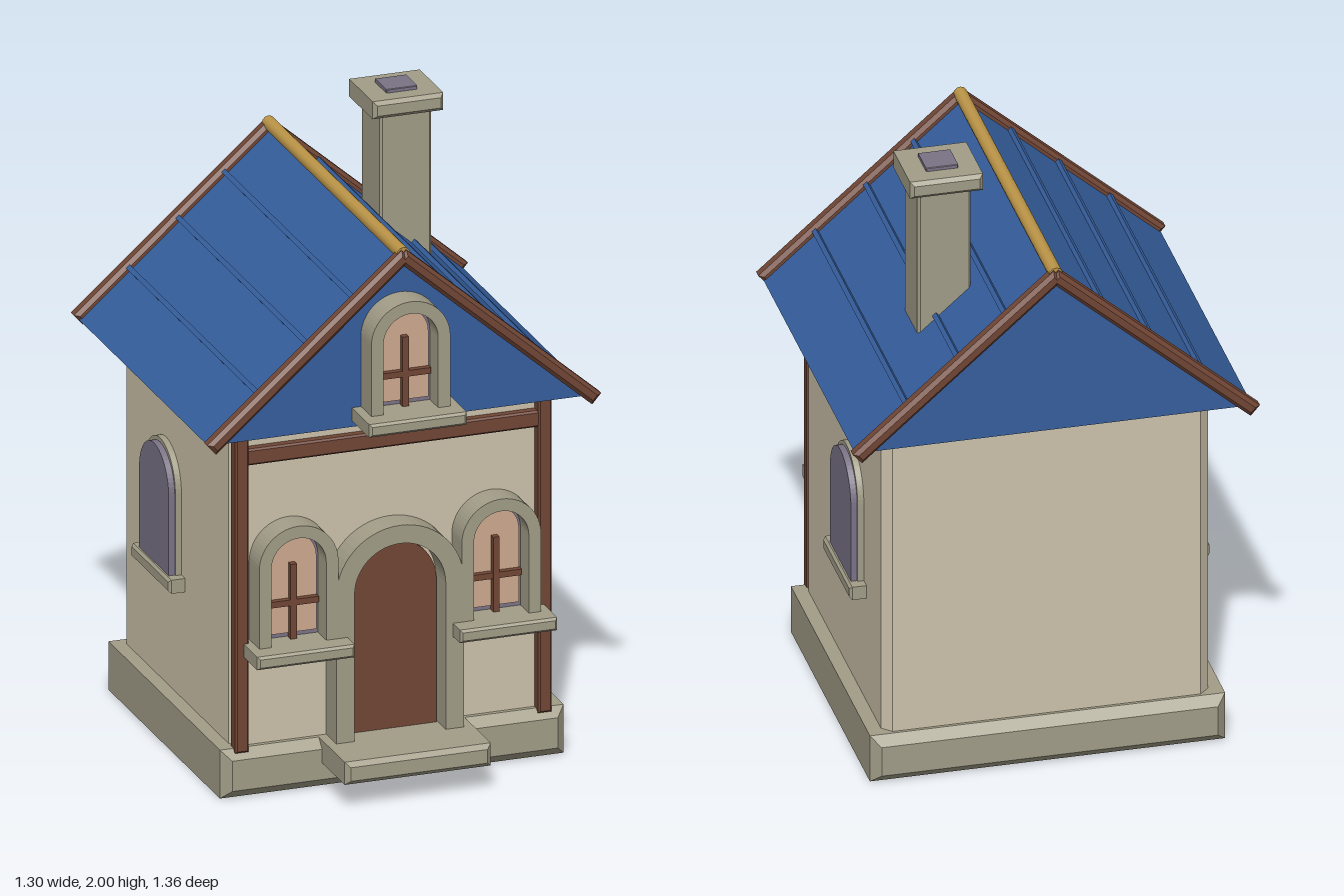
import * as THREE from 'three';

const mat = (name, color) => {
  const m = new THREE.MeshStandardMaterial({ color });
  m.name = name;
  return m;
};

export function createModel() {
  const wall = mat('plaster', 0xcdc3ab);
  const stone = mat('stone', 0xa29d88);
  const wood = mat('wood', 0x714635);
  const blue = mat('roofBlue', 0x365f9e);
  const gold = mat('gold', 0xbd9648);
  const peach = mat('litGlass', 0xcfab90);
  const purple = mat('darkGlass', 0x7b7386);

  const house = new THREE.Group();
  house.name = 'house';

  const add = (parent, name, geo, material, x = 0, y = 0, z = 0) => {
    const m = new THREE.Mesh(geo, material);
    m.name = name;
    m.position.set(x, y, z);
    parent.add(m);
    return m;
  };

  // Centred box with chamfered edges
  const chamferBox = (w, h, d, b) => {
    const x = w / 2 - b, y = h / 2 - b;
    const s = new THREE.Shape([[-x, -y], [x, -y], [x, y], [-x, y]].map(p => new THREE.Vector2(...p)));
    const g = new THREE.ExtrudeGeometry(s, { depth: d - 2 * b, bevelEnabled: true, bevelThickness: b, bevelSize: b, bevelSegments: 1 });
    return g.translate(0, 0, b - d / 2);
  };
  // Chamfered box given by its minimum and maximum corners
  const block = (parent, name, material, [x0, y0, z0], [x1, y1, z1], b) =>
    add(parent, name, chamferBox(x1 - x0, y1 - y0, z1 - z0, b), material, (x0 + x1) / 2, (y0 + y1) / 2, (z0 + z1) / 2);

  const extrude = (shape, depth) => new THREE.ExtrudeGeometry(shape, { depth, bevelEnabled: false, curveSegments: 14 });

  // Round-topped panel
  const panel = (r, bottom, spring, depth) => {
    const s = new THREE.Shape();
    s.moveTo(-r, bottom);
    s.lineTo(r, bottom);
    s.lineTo(r, spring);
    s.absarc(0, spring, r, 0, Math.PI, false);
    s.closePath();
    return extrude(s, depth);
  };
  // Round-topped surround, open at the foot
  const surround = (ro, ri, bottom, spring, depth) => {
    const s = new THREE.Shape();
    s.moveTo(ri, bottom);
    s.lineTo(ro, bottom);
    s.lineTo(ro, spring);
    s.absarc(0, spring, ro, 0, Math.PI, false);
    s.lineTo(-ro, bottom);
    s.lineTo(-ri, bottom);
    s.lineTo(-ri, spring);
    s.absarc(0, spring, ri, Math.PI, 0, true);
    s.closePath();
    return extrude(s, depth);
  };

  // Base, walls and step
  block(house, 'base', stone, [-0.565, 0, -0.585], [0.565, 0.16, 0.465], 0.03);
  block(house, 'walls', wall, [-0.52, 0.1, -0.545], [0.52, 1.205, 0.42], 0.03);
  block(house, 'step', stone, [-0.24, 0.085, 0.4], [0.24, 0.16, 0.68], 0.015);

  // Front timber frame
  for (const s of [-1, 1])
    add(house, 'cornerPost', chamferBox(0.045, 1.055, 0.045, 0.006), wood, s * 0.498, 0.675, 0.432);
  block(house, 'crossBeam', wood, [-0.5, 1.093, 0.4], [0.5, 1.147, 0.45], 0.006);

  // Door
  add(house, 'door', panel(0.145, 0.155, 0.635, 0.03), wood, 0, 0, 0.41);
  add(house, 'doorSurround', surround(0.21, 0.15, 0.155, 0.645, 0.1), stone, 0, 0, 0.41);

  // Front windows: z = 0 is the wall plane, y = 0 the top of the sill
  const frontWindow = (x, y, z, spring, barTop, barY) => {
    const w = new THREE.Group();
    w.name = 'frontWindow';
    w.position.set(x, y, z);
    add(w, 'windowSurround', surround(0.13, 0.09, -0.01, spring, 0.1), stone, 0, 0, -0.01);
    add(w, 'darkPane', panel(0.091, -0.01, spring, 0.015), purple);
    add(w, 'litPane', panel(0.082, 0.015, spring, 0.008), peach, 0, 0, 0.015);
    add(w, 'uprightBar', new THREE.BoxGeometry(0.02, barTop, 0.025), wood, 0, barTop / 2, 0.032);
    add(w, 'crossBar', new THREE.BoxGeometry(0.168, 0.02, 0.025), wood, 0, barY, 0.03);
    add(w, 'sill', chamferBox(0.32, 0.043, 0.17, 0.008), stone, 0, -0.021, 0.075);
    house.add(w);
  };
  for (const s of [-1, 1]) frontWindow(s * 0.333, 0.507, 0.42, 0.26, 0.248, 0.12);
  frontWindow(0, 1.266, 0.515, 0.233, 0.23, 0.107);

  // Side windows
  for (const s of [-1, 1]) {
    const w = new THREE.Group();
    w.name = 'sideWindow';
    w.position.set(s * 0.52, 0, -0.165);
    w.rotation.y = s * Math.PI / 2;
    add(w, 'windowBacking', panel(0.137, 0.55, 0.835, 0.035), stone, 0, 0, -0.015);
    add(w, 'darkPane', panel(0.132, 0.56, 0.826, 0.022), purple, 0, 0, 0.018);
    add(w, 'sill', chamferBox(0.34, 0.045, 0.07, 0.008), stone, 0, 0.543, 0.018);
    house.add(w);
  }

  // Roof prism
  const midZ = -0.06, eave = 1.203, peak = 1.755, half = 0.632;
  const gable = new THREE.Shape([[-half, eave], [half, eave], [0, peak]].map(p => new THREE.Vector2(...p)));
  add(house, 'roof', extrude(gable, 1.145), blue, 0, 0, midZ - 0.5725);
  const pitch = Math.atan2(peak - eave, half);

  // Seams and gable trim on both slopes
  for (const s of [-1, 1]) {
    for (const x of [0.152, 0.303, 0.466]) {
      const seam = add(house, 'roofSeam', new THREE.BoxGeometry(0.016, 0.022, 1.145), blue, s * x, peak - x * Math.tan(pitch) + 0.004, midZ);
      seam.rotation.z = -s * pitch;
    }
    for (const e of [-1, 1]) {
      const trim = add(house, 'gableTrim', chamferBox(0.85, 0.045, 0.05, 0.012), wood, s * 0.313, 1.481, midZ + e * 0.592);
      trim.rotation.z = -s * pitch;
    }
  }

  // Ridge pole
  const ridge = add(house, 'ridge', new THREE.CylinderGeometry(0.022, 0.022, 1.2, 12), gold, 0, 1.763, midZ);
  ridge.rotation.x = Math.PI / 2;

  // Chimney
  block(house, 'chimney', stone, [0.192, 1.437, -0.356], [0.362, 1.95, -0.186], 0.008);
  block(house, 'chimneyCap', stone, [0.16, 1.93, -0.387], [0.392, 1.988, -0.155], 0.012);
  block(house, 'flue', purple, [0.225, 1.96, -0.322], [0.327, 2, -0.22], 0.002);

  return house;
}
